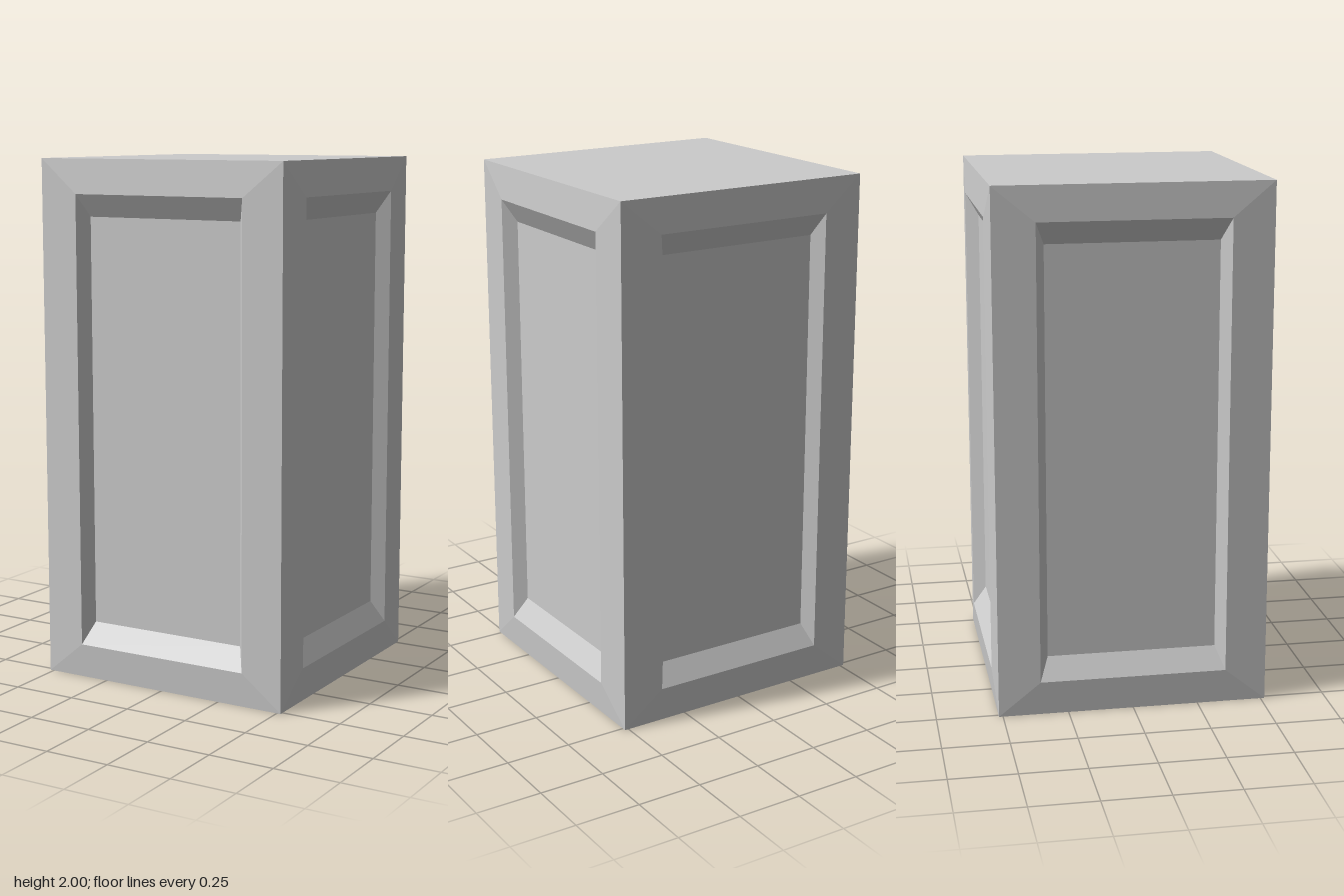
import * as THREE from 'three';

const HEIGHT = 2;
const HALF = 0.5155; // half width at the corners

// Rectangular rings of one side, outside to inside: half width, bottom, depth
const RINGS = [
  [HALF, 0, HALF],         // outer corners of the box
  [0.357, 0.131, 0.5246],  // slightly raised lip of the frame
  [0.323, 0.216, 0.476],   // recessed panel
];

const ringCorners = ([w, bottom, z]) => [
  [-w, bottom, z], [w, bottom, z], [w, HEIGHT - bottom, z], [-w, HEIGHT - bottom, z],
];

// Quads as two triangles each, corners counter-clockwise from outside
function quadGeometry(quads) {
  const positions = quads.flatMap(([a, b, c, d]) => [a, b, c, a, c, d].flat());
  const geometry = new THREE.BufferGeometry();
  geometry.setAttribute('position', new THREE.Float32BufferAttribute(positions, 3));
  geometry.computeVertexNormals();
  return geometry;
}

// Mitred band joining two rings
function band(outer, inner) {
  const o = ringCorners(outer);
  const n = ringCorners(inner);
  return quadGeometry(o.map((corner, i) => {
    const j = (i + 1) % 4;
    return [corner, o[j], n[j], n[i]];
  }));
}

export function createModel() {
  const model = new THREE.Group();
  model.name = 'panelledBox';
  const material = new THREE.MeshStandardMaterial({ color: 0xcccccc, flatShading: true });

  const add = (parent, name, geometry) => {
    const mesh = new THREE.Mesh(geometry, material);
    mesh.name = name;
    parent.add(mesh);
    return mesh;
  };

  // Four identical sides: frame, sloping bevel and recessed panel
  const frame = band(RINGS[0], RINGS[1]);
  const bevel = band(RINGS[1], RINGS[2]);
  const panel = quadGeometry([ringCorners(RINGS[2])]);
  ['front', 'left', 'back', 'right'].forEach((name, i) => {
    const side = new THREE.Group();
    side.name = name + 'Side';
    add(side, 'frame', frame);
    add(side, 'bevel', bevel);
    add(side, 'panel', panel);
    side.rotation.y = i * Math.PI / 2;
    model.add(side);
  });

  // Flat top and bottom
  const cap = new THREE.PlaneGeometry(2 * HALF, 2 * HALF);
  const top = add(model, 'top', cap);
  top.rotation.x = -Math.PI / 2;
  top.position.y = HEIGHT;
  add(model, 'bottom', cap).rotation.x = Math.PI / 2;

  return model;
}
